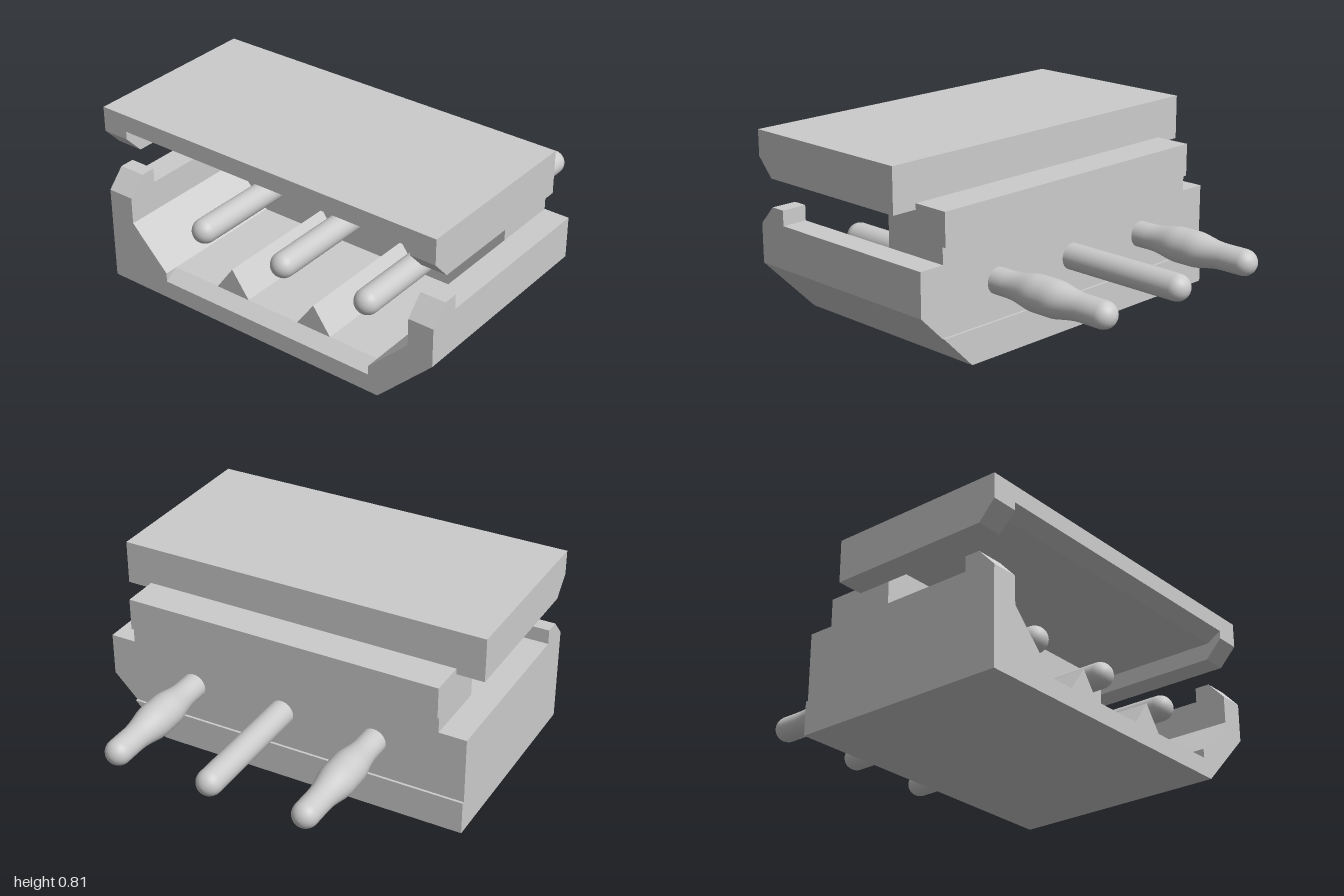
import * as THREE from 'three';

const material = new THREE.MeshStandardMaterial({ color: 0xcccccc });

// Local frame: u runs along the width (+x), w runs from the front to the back (-z).
const W = 1.641, IN0 = 0.12, IN1 = 1.528, WALL = 0.65;

function extrude(points, depth) {
  const shape = new THREE.Shape(points.map(([a, b]) => new THREE.Vector2(a, b)));
  return new THREE.ExtrudeGeometry(shape, { depth, bevelEnabled: false });
}

// Section given in (u, y), swept from w0 to w1
function alongDepth(points, w0, w1) {
  return extrude(points, w1 - w0).translate(0, 0, -w1);
}

// Section given in (w, y), swept from u0 to u1
function alongWidth(points, u0, u1) {
  return extrude(points, u1 - u0).rotateY(Math.PI / 2).translate(u0, 0, 0);
}

// U-shaped tray section with one chamfered lower edge
function traySection(top, floor) {
  return [
    [0, 0], [1.391, 0], [W, 0.25], [W, top], [IN1, top], [IN1, 0.3], [1.345, 0.12],
    ...(floor < 0.12 ? [[1.345, floor], [0.295, floor]] : []),
    [0.295, 0.12], [IN0, 0.3], [IN0, top], [0, top],
  ];
}

// Round pin with domed ends and an optional swelling on its tail
function pinGeometry(bulge) {
  const r = 0.055, start = 0.135, end = 1.495, profile = [];
  for (let i = 0; i <= 8; i++) {
    const a = (i / 8) * Math.PI / 2;
    profile.push(new THREE.Vector2(r * Math.sin(a), start - r * Math.cos(a)));
  }
  for (let i = 0; i <= 16; i++) {
    const w = 1.02 + (i / 16) * 0.38;
    const swell = Math.min(1, 1.25 * Math.sin((i / 16) * Math.PI) ** 2);
    profile.push(new THREE.Vector2(r + bulge * swell, w));
  }
  for (let i = 0; i <= 8; i++) {
    const a = (i / 8) * Math.PI / 2;
    profile.push(new THREE.Vector2(r * Math.cos(a), end + r * Math.sin(a)));
  }
  return new THREE.LatheGeometry(profile, 32).rotateX(-Math.PI / 2);
}

export function createModel() {
  const model = new THREE.Group();
  const connector = new THREE.Group();
  connector.name = 'connector';
  connector.position.set(-0.975, 0, 0.003);
  connector.rotation.y = -0.651;
  model.add(connector);

  const add = (name, geometry) => {
    const mesh = new THREE.Mesh(geometry, material);
    mesh.name = name;
    connector.add(mesh);
    return mesh;
  };

  // Open tray with a bevelled front lip
  add('trayFront', alongDepth(traySection(0.42, 0.08), 0, 0.06));
  add('tray', alongDepth(traySection(0.435, 0.12), 0.06, WALL));
  add('trayLip', alongWidth([[0, 0.08], [0.06, 0.08], [0.06, 0.12]], 0.295, 1.345));

  // Rear body: bottom strip, slightly recessed middle, upper block under the lid
  add('rearBase', alongDepth([[0, 0], [1.391, 0], [1.536, 0.145], [0, 0.145]], WALL, 0.962));
  add('rearWall', alongDepth([
    [0, 0.145], [1.536, 0.145], [W, 0.25], [W, 0.435], [IN1, 0.435],
    [IN1, 0.505], [IN0, 0.505], [IN0, 0.435], [0, 0.435],
  ], WALL, 0.951));
  add('rearBlock', alongWidth([
    [WALL, 0.505], [0.966, 0.505], [0.966, 0.645], [0.806, 0.645], [0.806, 0.695], [WALL, 0.695],
  ], IN0, IN1));

  // Lid plate, with a bevelled front edge
  add('lidPlate', alongWidth([
    [0, 0.81], [0, 0.735], [0.066, 0.695], [0.806, 0.695], [0.806, 0.81],
  ], IN0, IN1));

  // Lid flanges and tray catches on both sides
  for (const [side, u0, u1] of [['right', 0, IN0], ['left', IN1, W]]) {
    add(side + 'LidFlange', alongWidth([
      [0, 0.81], [0, 0.7], [0.074, 0.62], [0.806, 0.62], [0.806, 0.81],
    ], u0, u1));
    add(side + 'Catch', alongWidth([
      [0, 0.42], [0.14, 0.42], [0.14, 0.5], [0.074, 0.5],
    ], u0, u1));
  }

  // Ridges on the floor between the pins
  [0.61, 1.03].forEach((u) => {
    add('floorRidge', alongDepth([[u - 0.083, 0.12], [u + 0.083, 0.12], [u, 0.235]], 0.06, WALL));
  });

  // Three pins; the outer two have swollen tails
  [0.4, 0.82, 1.24].forEach((u, i) => {
    add('pin', pinGeometry(i === 1 ? 0 : 0.02)).position.set(u, 0.305, 0);
  });

  return model;
}
